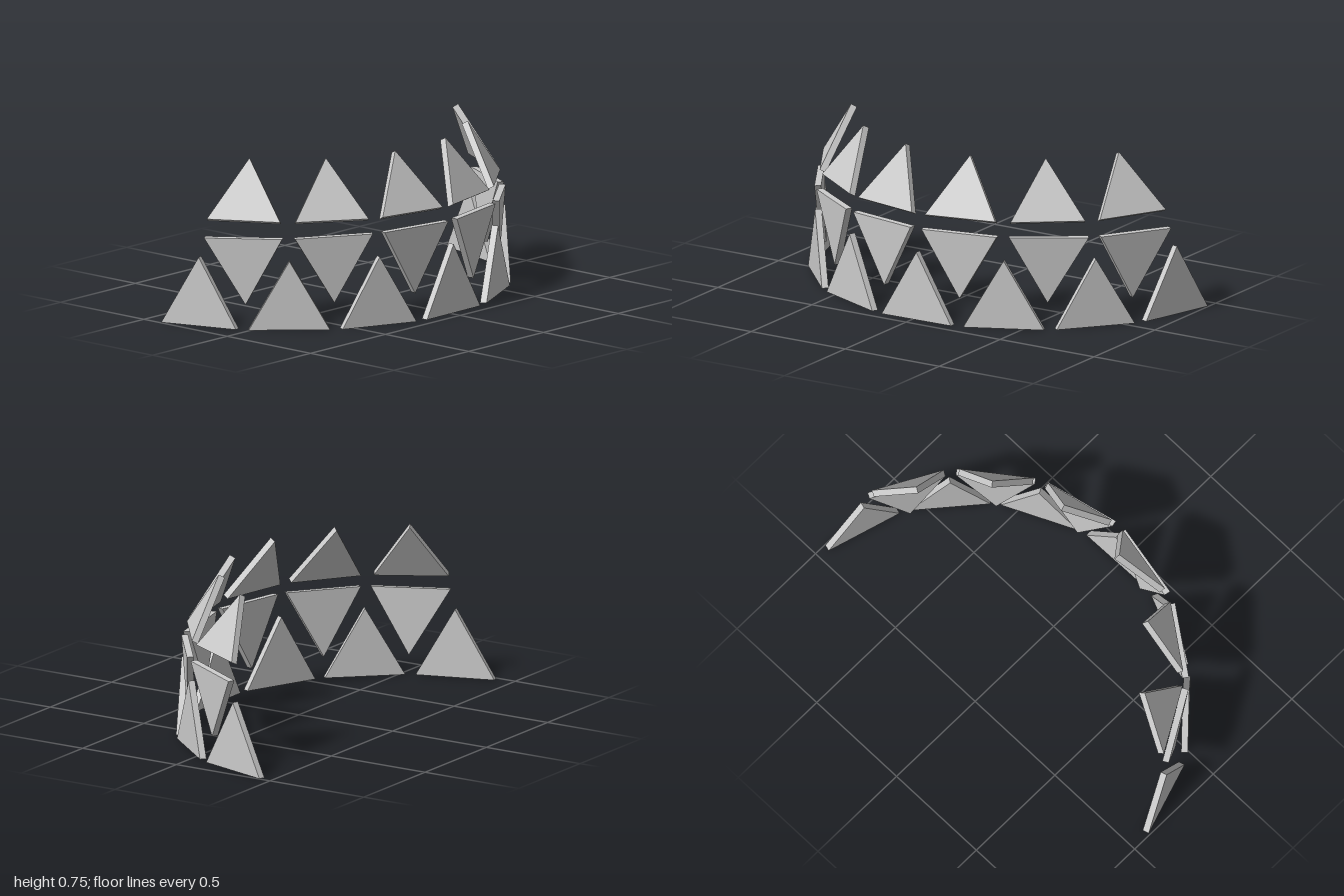
import * as THREE from 'three';

const DEG = Math.PI / 180;
const THICKNESS = 0.03;
const ARC_CENTRE_Z = -0.54;
const STEP = 24.25; // degrees between neighbouring panels

const material = new THREE.MeshStandardMaterial({ color: 0xcccccc, flatShading: true });

// Triangular slab: one edge on the origin, outer face at z = 0
function panelGeometry(side, height) {
  const shape = new THREE.Shape();
  shape.moveTo(-side / 2, 0);
  shape.lineTo(side / 2, 0);
  shape.lineTo(0, height);
  shape.closePath();
  const geometry = new THREE.ExtrudeGeometry(shape, { depth: THICKNESS, bevelEnabled: false });
  return geometry.translate(0, 0, -THICKNESS);
}

// Row of panels along an arc; a negative height points the triangles down
function panelRow({ name, count, side, height, radius, y, lean, offset }) {
  const row = new THREE.Group();
  row.name = name + 'Row';
  const geometry = panelGeometry(side, height);
  for (let i = 0; i < count; i++) {
    const angle = (offset + (i - (count - 1) / 2) * STEP) * DEG;
    const panel = new THREE.Mesh(geometry, material);
    panel.name = name + 'Panel' + (i + 1);
    panel.rotation.set(lean * DEG, angle, 0, 'YXZ');
    panel.position.set(radius * Math.sin(angle), y, ARC_CENTRE_Z + radius * Math.cos(angle));
    row.add(panel);
  }
  return row;
}

export function createModel() {
  const model = new THREE.Group();
  model.name = 'curvedTrianglePanels';

  // Upright triangles standing on the ground
  const lower = panelRow({
    name: 'lower', count: 7, side: 0.364, height: 0.315,
    radius: 0.985, y: 0, lean: 0, offset: 1.1,
  });

  // Inverted triangles between them, the whole row pitched slightly up at the front
  const middle = panelRow({
    name: 'middle', count: 6, side: 0.356, height: -0.307,
    radius: 0.967, y: 0.412, lean: 4, offset: 0.9,
  });
  middle.rotation.x = -1.7 * DEG;
  middle.position.z = 0.012;

  // Upright triangles leaning inward
  const upper = panelRow({
    name: 'upper', count: 6, side: 0.335, height: 0.29,
    radius: 0.943, y: 0.487, lean: -27, offset: 0.7,
  });

  model.add(lower, middle, upper);
  return model;
}
